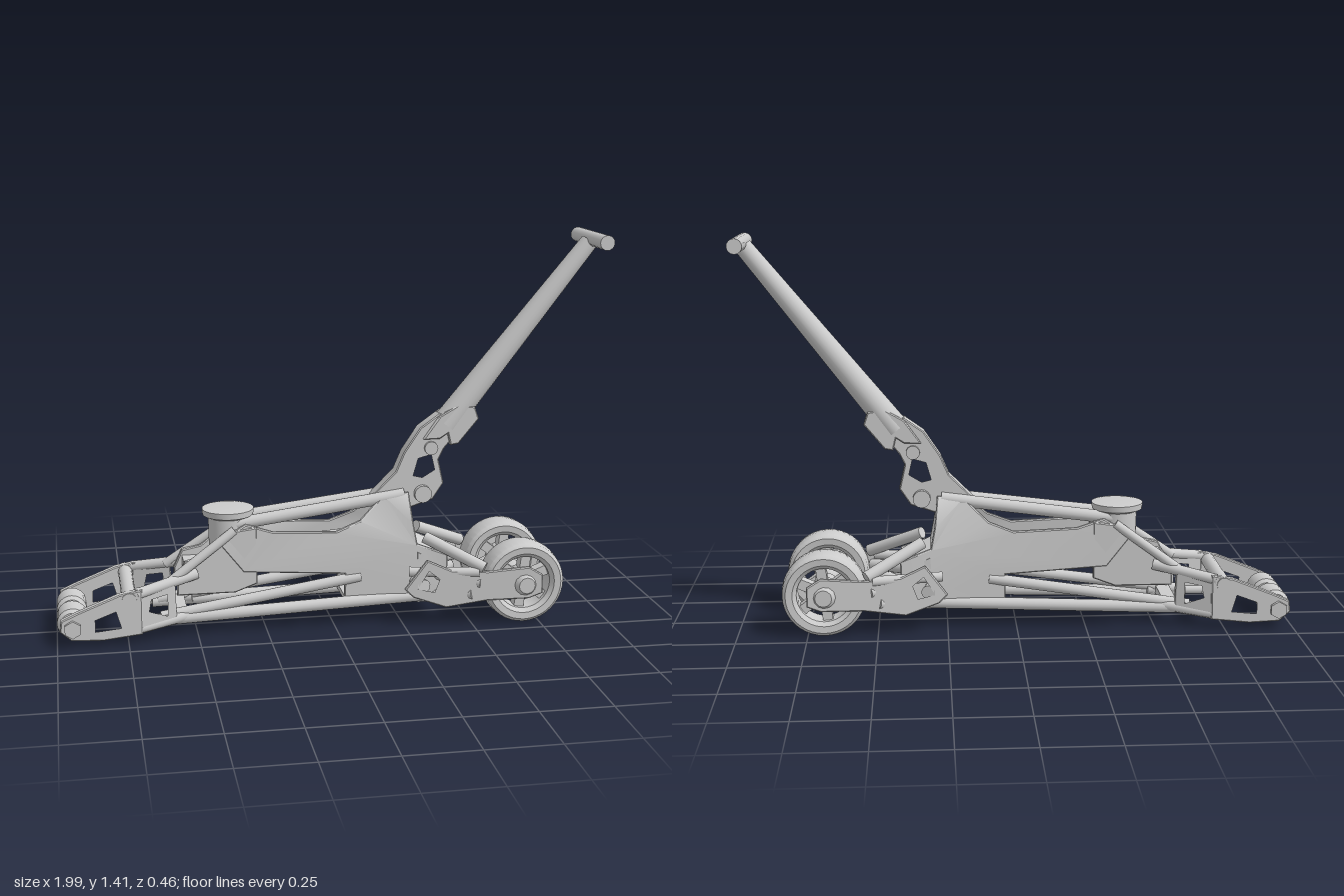
import * as THREE from 'three';
import { toCreasedNormals } from 'three/addons/utils/BufferGeometryUtils.js';

export function createModel() {
  const root = new THREE.Group();
  root.name = 'floorJack';
  const steel = new THREE.MeshStandardMaterial({ color: 0xcccccc });
  steel.name = 'light grey steel';

  const add = (name, geo) => {
    const m = new THREE.Mesh(geo, steel);
    m.name = name;
    root.add(m);
    return m;
  };
  // Tapered round bar between two points
  const rod = (name, a, b, r0, r1 = r0, sides = 16) => {
    const p = new THREE.Vector3(...a), q = new THREE.Vector3(...b);
    const d = q.clone().sub(p);
    const m = add(name, new THREE.CylinderGeometry(r1, r0, d.length(), sides));
    m.position.copy(p).add(q).multiplyScalar(0.5);
    m.quaternion.setFromUnitVectors(new THREE.Vector3(0, 1, 0), d.normalize());
    return m;
  };
  const box = (name, size, pos, rz = 0) => {
    const m = add(name, new THREE.BoxGeometry(...size));
    m.position.set(...pos);
    m.rotation.z = rz;
    return m;
  };
  // Side-profile plate; bend(x, y) gives its z offset
  const plate = (name, pts, holes, thick, bend = () => 0) => {
    const vec = list => list.map(p => new THREE.Vector2(...p));
    const shape = new THREE.Shape(vec(pts));
    holes.forEach(h => shape.holes.push(new THREE.Path(vec(h))));
    const geo = new THREE.ExtrudeGeometry(shape, {
      depth: thick - 0.008, bevelThickness: 0.004, bevelSize: 0.004, bevelOffset: -0.004, bevelSegments: 1,
    });
    geo.translate(0, 0, -thick / 2 + 0.004);
    const p = geo.attributes.position;
    for (let i = 0; i < p.count; i++) p.setZ(i, p.getZ(i) + bend(p.getX(i), p.getY(i)));
    geo.computeVertexNormals();
    return add(name, toCreasedNormals(geo, 0.6));
  };
  // Lathe turned about the z axis
  const turned = (name, pts, pos, seg = 40) => {
    const geo = new THREE.LatheGeometry(pts.map(p => new THREE.Vector2(...p)), seg);
    geo.rotateX(Math.PI / 2);
    const m = add(name, toCreasedNormals(geo, 0.7));
    m.position.set(...pos);
    return m;
  };
  const lerp = THREE.MathUtils.mapLinear, clamp = THREE.MathUtils.clamp;

  // Handle: cross grip, tapered shaft, socket and pivot link
  rod('grip', [0.968, 1.385, -0.165], [0.968, 1.385, 0.165], 0.027);
  rod('handleShaft', [0.43, 0.715, 0], [0.957, 1.375, 0], 0.051, 0.032, 20);
  plate('handleSocket', [[0.34, 0.67], [0.4, 0.755], [0.47, 0.795], [0.53, 0.785], [0.545, 0.74], [0.47, 0.65],
    [0.44, 0.645], [0.43, 0.69], [0.4, 0.67]], [], 0.092);
  plate('handleLink', [[0.15, 0.46], [0.24, 0.55], [0.27, 0.62], [0.33, 0.71], [0.4, 0.76], [0.46, 0.76],
    [0.48, 0.7], [0.42, 0.63], [0.4, 0.59], [0.42, 0.5], [0.38, 0.44], [0.29, 0.41]],
  [[[0.32, 0.6], [0.375, 0.615], [0.39, 0.55], [0.34, 0.52], [0.3, 0.53]]], 0.06);
  rod('handlePivot', [0.34, 0.465, -0.05], [0.34, 0.465, 0.05], 0.032);
  rod('linkPin', [0.37, 0.635, -0.042], [0.37, 0.635, 0.042], 0.025);

  // Saddle on its pedestal
  const saddle = add('saddle', toCreasedNormals(new THREE.LatheGeometry([[0, 0.28], [0.07, 0.28], [0.072, 0.405],
    [0.092, 0.414], [0.094, 0.436], [0.08, 0.438], [0, 0.434]].map(p => new THREE.Vector2(...p)), 32), 0.6));
  saddle.position.x = -0.375;

  for (const s of [1, -1]) {
    const side = s > 0 ? 'left' : 'right';
    const n = part => side + part;

    // Main chassis cheek, leaning inward at the handle
    plate(n('Cheek'), [[-0.42, 0.33], [-0.32, 0.39], [-0.22, 0.36], [0.01, 0.35], [0.1, 0.385], [0.19, 0.47],
      [0.285, 0.475], [0.295, 0.37], [0.31, 0.29], [0.42, 0.25], [0.42, 0.09], [0.04, 0.08], [0.04, 0.19],
      [-0.33, 0.215]], [], 0.02,
    (x, y) => s * (0.08 + clamp((x - 0.25) * 0.12, 0, 0.03) - clamp((y - 0.36) * 0.35, 0, 0.04)));

    // Lift arm rods and lower rails
    rod(n('LiftRod'), [-0.36, 0.385, s * 0.045], [0.27, 0.465, s * 0.033], 0.023);
    rod(n('InnerRod'), [-0.4, 0.27, s * 0.035], [0.2, 0.32, s * 0.025], 0.02);
    rod(n('UpperRail'), [-0.63, 0.07, s * 0.1], [0.1, 0.175, s * 0.08], 0.02);
    rod(n('LowerRail'), [-0.65, 0.06, s * 0.105], [0.42, 0.095, s * 0.085], 0.022);

    // Front mount under the saddle
    plate(n('FrontMount'), [[-0.57, 0.14], [-0.57, 0.2], [-0.54, 0.265], [-0.47, 0.28], [-0.36, 0.37], [-0.28, 0.38],
      [-0.28, 0.17], [-0.36, 0.14]], [], 0.025, () => s * 0.075);
    rod(n('SaddleStrut'), [-0.6, 0.2, s * 0.11], [-0.36, 0.37, s * 0.075], 0.017);

    // Front end bracket with openings: flat nose, then an angled rear web
    plate(n('BracketNose'), [[-0.99, 0.06], [-0.985, 0.1], [-0.93, 0.125], [-0.78, 0.185], [-0.7, 0.2],
      [-0.7, 0.035], [-0.84, 0.02], [-0.95, 0.025]],
    [[[-0.87, 0.05], [-0.87, 0.1], [-0.79, 0.13], [-0.77, 0.06]]], 0.032, () => s * 0.165);
    plate(n('BracketWeb'), [[-0.72, 0.2], [-0.58, 0.2], [-0.575, 0.05], [-0.72, 0.035]],
      [[[-0.68, 0.11], [-0.67, 0.16], [-0.605, 0.17], [-0.605, 0.08]]], 0.032,
      x => s * lerp(x, -0.72, -0.575, 0.163, 0.115));
    rod(n('BracketBrace'), [-0.72, 0.18, s * 0.165], [-0.5, 0.22, s * 0.085], 0.02);
    rod(n('LowerBrace'), [-0.72, 0.05, s * 0.16], [-0.5, 0.075, s * 0.09], 0.02);

    // Front roller with nut
    turned(n('FrontRoller'), [[0, -0.058], [0.042, -0.058], [0.054, -0.045], [0.054, 0.045], [0.042, 0.058], [0, 0.058]],
      [-0.945, 0.07, s * 0.073], 24);
    rod(n('RollerNut'), [-0.945, 0.07, s * 0.17], [-0.945, 0.07, s * 0.195], 0.032, 0.032, 6);

    // Rear wheel: tyre, hub and spokes
    const wheel = [0.69, 0.152, s * 0.143];
    turned(n('RearTyre'), [[0.098, -0.04], [0.112, -0.054], [0.136, -0.056], [0.148, -0.044], [0.152, 0],
      [0.148, 0.044], [0.136, 0.056], [0.112, 0.054], [0.098, 0.04], [0.098, -0.04]], wheel);
    turned(n('RearHub'), [[0, -0.05], [0.038, -0.05], [0.048, -0.03], [0.048, 0.03], [0.038, 0.05], [0, 0.05]], wheel, 24);
    for (let i = 0; i < 6; i++) {
      const a = i * Math.PI / 3 + 0.4;
      box(n('Spoke') + (i + 1), [0.075, 0.036, 0.045],
        [wheel[0] + 0.068 * Math.cos(a), wheel[1] + 0.068 * Math.sin(a), wheel[2]], a);
    }

    // Rear arm sweeping outside the wheel
    plate(n('RearArm'), [[0.25, 0.14], [0.33, 0.25], [0.42, 0.21], [0.55, 0.205], [0.7, 0.22], [0.75, 0.19], [0.75, 0.12],
      [0.7, 0.1], [0.55, 0.095], [0.4, 0.07], [0.28, 0.11]],
    [[[0.29, 0.14], [0.335, 0.215], [0.38, 0.18], [0.36, 0.125]]], 0.018,
    x => s * lerp(x, 0.25, 0.75, 0.155, 0.215));
    rod(n('ArmTopBar'), [0.27, 0.2, s * 0.135], [0.52, 0.2, s * 0.185], 0.018);
    rod(n('ArmStrut'), [0.34, 0.31, s * 0.075], [0.54, 0.215, s * 0.185], 0.022);
    rod(n('ArmMidStrut'), [0.38, 0.17, s * 0.085], [0.53, 0.16, s * 0.185], 0.022);
    rod(n('ArmLowerStrut'), [0.36, 0.09, s * 0.08], [0.5, 0.12, s * 0.18], 0.024);
    rod(n('ArmTie'), [0.3, 0.15, s * 0.08], [0.32, 0.15, s * 0.165], 0.025);
    rod(n('AxleNut'), [0.69, 0.152, s * 0.205], [0.69, 0.152, s * 0.228], 0.048, 0.03, 12);
  }

  // Cross members
  rod('rollerAxle', [-0.945, 0.07, -0.18], [-0.945, 0.07, 0.18], 0.022);
  rod('frontCrossbar', [-0.745, 0.165, -0.185], [-0.745, 0.165, 0.185], 0.026);
  rod('rearAxle', [0.69, 0.152, -0.21], [0.69, 0.152, 0.21], 0.028);
  turned('axleCollar', [[0, -0.07], [0.03, -0.07], [0.045, -0.05], [0.036, -0.03], [0.036, 0.03], [0.045, 0.05],
    [0.03, 0.07], [0, 0.07]], [0.69, 0.152, 0], 20);

  // Inner plates closing the chassis
  box('mountBlock', [0.22, 0.09, 0.14], [-0.43, 0.2, 0]);
  box('liftArmFloor', [0.4, 0.025, 0.14], [-0.15, 0.235, 0], 0.03);
  box('rearFloor', [0.38, 0.02, 0.16], [0.23, 0.095, 0]);
  box('frontTie', [0.05, 0.03, 0.2], [-0.56, 0.075, 0]);

  // Peaked rear bulkhead with a roof sloping down to the wheels
  const peak = new THREE.Shape([[-0.1, 0.07], [0.1, 0.07], [0.1, 0.26], [0, 0.315], [-0.1, 0.26]]
    .map(p => new THREE.Vector2(...p)));
  const roof = new THREE.ExtrudeGeometry(peak, { depth: 0.1, bevelEnabled: false });
  const rp = roof.attributes.position;
  for (let i = 0; i < rp.count; i++) if (rp.getY(i) > 0.2) rp.setY(i, rp.getY(i) - 0.5 * rp.getZ(i));
  roof.computeVertexNormals();
  const bulkhead = add('rearBulkhead', roof);
  bulkhead.rotation.y = Math.PI / 2;
  bulkhead.position.x = 0.31;

  return root;
}
